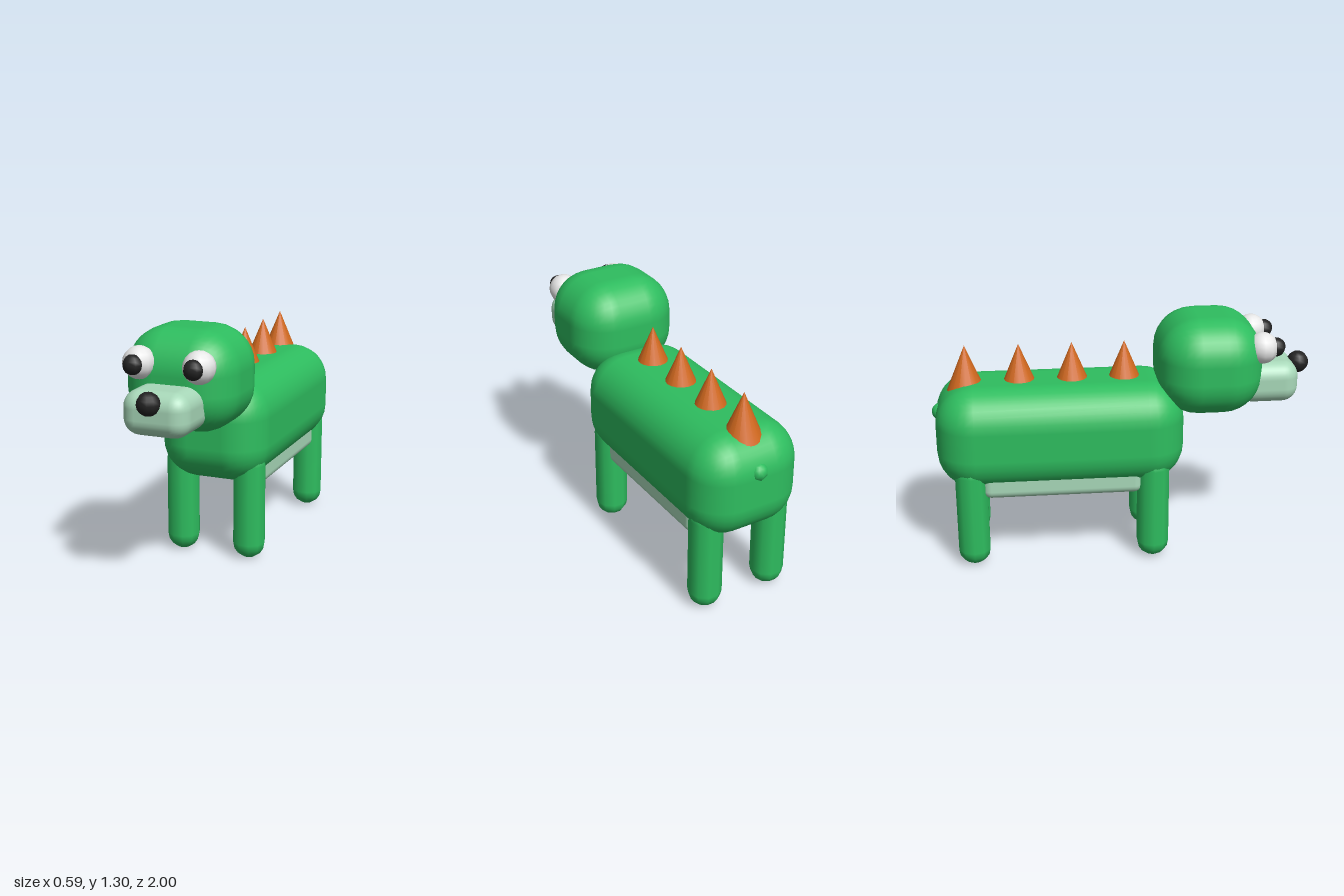
import * as THREE from 'three';
import { RoundedBoxGeometry } from 'three/addons/geometries/RoundedBoxGeometry.js';

function material(name, color) {
  const m = new THREE.MeshStandardMaterial({ color });
  m.name = name;
  return m;
}

export function createModel() {
  const green = material('green', 0x2ebd5f);
  const mint = material('mint', 0xa8d8b9);
  const orange = material('orange', 0xd2691e);
  const white = material('white', 0xeaeaea);
  const black = material('black', 0x222222);

  const model = new THREE.Group();
  model.name = 'spikedAnimal';

  function add(name, geometry, mat, x, y, z) {
    const mesh = new THREE.Mesh(geometry, mat);
    mesh.name = name;
    mesh.position.set(x, y, z);
    model.add(mesh);
    return mesh;
  }

  // Soft block given by its lower and upper bounds, centred on x
  function softBlock(name, mat, width, [y0, y1], [z0, z1], radius) {
    const geometry = new RoundedBoxGeometry(width, y1 - y0, z1 - z0, 4, radius);
    return add(name, geometry, mat, 0, (y0 + y1) / 2, (z0 + z1) / 2);
  }

  // Torso, head, muzzle and pale belly plate
  softBlock('body', green, 0.59, [0.42, 0.97], [-0.98, 0.32], 0.2);
  softBlock('head', green, 0.59, [0.785, 1.3], [0.18, 0.73], 0.21);
  softBlock('muzzle', mint, 0.345, [0.83, 1.053], [0.6, 0.925], 0.085);
  softBlock('belly', mint, 0.49, [0.385, 0.54], [-0.75, 0.09], 0.045);

  // Legs
  const legGeometry = new THREE.CapsuleGeometry(0.087, 0.43, 4, 10);
  for (const side of [1, -1]) {
    add(side > 0 ? 'frontLeftLeg' : 'frontRightLeg', legGeometry, green, side * 0.19, 0.303, 0.15);
    add(side > 0 ? 'backLeftLeg' : 'backRightLeg', legGeometry, green, side * 0.19, 0.303, -0.807);
  }

  // Eyes with pupils
  const eyeGeometry = new THREE.SphereGeometry(0.082, 12, 10);
  const pupilGeometry = new THREE.SphereGeometry(0.05, 8, 8);
  for (const side of [1, -1]) {
    const label = side > 0 ? 'left' : 'right';
    add(label + 'Eye', eyeGeometry, white, side * 0.157, 1.148, 0.717);
    add(label + 'Pupil', pupilGeometry, black, side * 0.157, 1.15, 0.787);
  }

  // Nose
  add('nose', new THREE.SphereGeometry(0.058, 10, 8), black, 0, 1.01, 0.945);

  // Row of spikes along the back
  const spikeGeometry = new THREE.ConeGeometry(0.1, 0.24, 16);
  [0.015, -0.26, -0.537, -0.815].forEach((z, i) => {
    add('spike' + (i + 1), spikeGeometry, orange, 0, 1.04, z);
  });

  // Tail: a slanted rod whose ends just emerge from the body
  const tailTop = new THREE.Vector3(0, 0.8, -0.953);
  const tailRoot = new THREE.Vector3(0, 0.426, -0.48);
  const axis = tailTop.clone().sub(tailRoot);
  const middle = tailTop.clone().add(tailRoot).multiplyScalar(0.5);
  const tail = add('tail', new THREE.CapsuleGeometry(0.048, axis.length(), 4, 8), green, 0, middle.y, middle.z);
  tail.quaternion.setFromUnitVectors(new THREE.Vector3(0, 1, 0), axis.normalize());

  return model;
}
